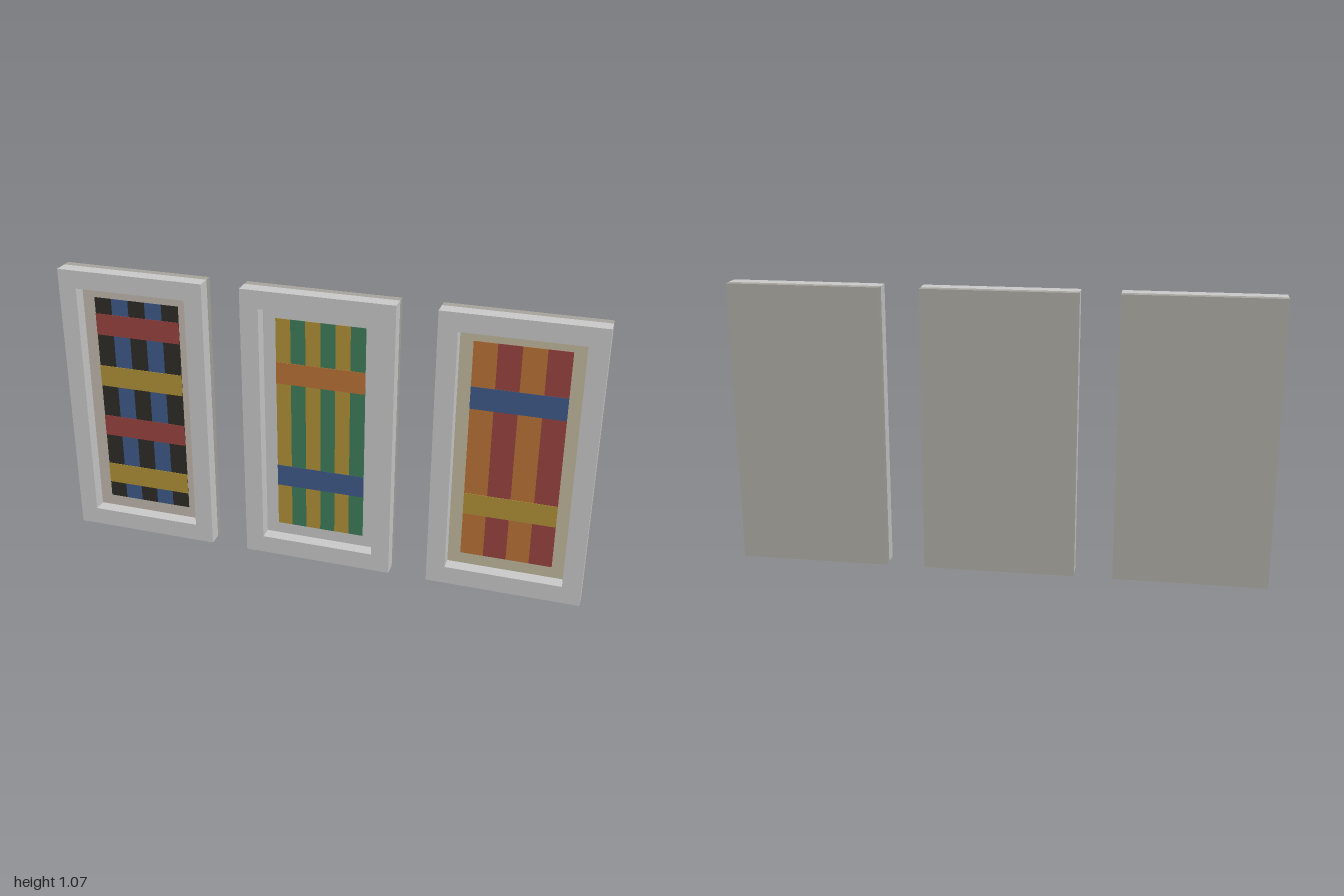
import * as THREE from 'three';

const W = 0.57, H = 1.073, BORDER = 0.069;      // outer frame size and bar width
const FRONT = 0.042, BACK = -0.042, BOARD_FRONT = -0.012;
const WEAVE_W = 0.337, WEAVE_H = 0.845;

const RED = 0x9b443f, BLUE = 0x3f5b8c, YELLOW = 0xb29338;
const GREEN = 0x407e5b, ORANGE = 0xbc7438, BLACK = 0x2e2c28;

function mat(color = 0xcccccc) {
  return new THREE.MeshStandardMaterial({ color });
}

// Box centred on x, y and spanning z0..z1
function slab(name, w, h, z0, z1, x, y, color) {
  const m = new THREE.Mesh(new THREE.BoxGeometry(w, h, z1 - z0), mat(color));
  m.position.set(x, y, (z0 + z1) / 2);
  m.name = name;
  return m;
}

function rectangle(PathType, w, h) {
  const p = new PathType();
  p.moveTo(-w / 2, -h / 2);
  p.lineTo(w / 2, -h / 2);
  p.lineTo(w / 2, h / 2);
  p.lineTo(-w / 2, h / 2);
  p.closePath();
  return p;
}

function framedPanel(name, matColor, stripes, bands) {
  const g = new THREE.Group();
  g.name = name;

  // Frame with a rectangular opening
  const shape = rectangle(THREE.Shape, W, H);
  shape.holes.push(rectangle(THREE.Path, W - 2 * BORDER, H - 2 * BORDER));
  const frame = new THREE.Mesh(
    new THREE.ExtrudeGeometry(shape, { depth: FRONT - BOARD_FRONT, bevelEnabled: false }), mat());
  frame.position.z = BOARD_FRONT;
  frame.name = 'frame';
  g.add(frame);

  // Backing board and the mount inside the opening
  g.add(slab('backBoard', W, H, BACK, BOARD_FRONT, 0, 0, 0xa7a59e));
  g.add(slab('mount', W - 2 * BORDER, H - 2 * BORDER, BOARD_FRONT, -0.008, 0, 0, matColor));

  // Upright stripes, side by side
  const sw = WEAVE_W / stripes.length;
  stripes.forEach((color, i) => {
    const x = -WEAVE_W / 2 + (i + 0.5) * sw;
    g.add(slab('verticalStripe', sw, WEAVE_H, -0.008, -0.006, x, 0, color));
  });

  // Crossing bands on top, listed from the top down
  bands.forEach((color, i) => {
    const y = WEAVE_H * (0.5 - (i + 0.5) / bands.length);
    g.add(slab('horizontalBand', WEAVE_W, WEAVE_H * 0.1, -0.006, -0.004, 0, y, color));
  });
  return g;
}

export function createModel() {
  const root = new THREE.Group();
  root.name = 'framedTextiles';
  const panels = [
    framedPanel('rightPanel', 0xc4bbaf, [BLACK, BLUE, BLACK, BLUE, BLACK], [RED, YELLOW, RED, YELLOW]),
    framedPanel('middlePanel', 0xcccccc, [YELLOW, GREEN, YELLOW, GREEN, YELLOW, GREEN], [ORANGE, BLUE]),
    framedPanel('leftPanel', 0xc2bba1, [ORANGE, RED, ORANGE, RED], [BLUE, YELLOW]),
  ];
  panels.forEach((p, i) => {
    p.position.set((i - 1) * 0.715, H / 2, 0);
    root.add(p);
  });
  return root;
}
